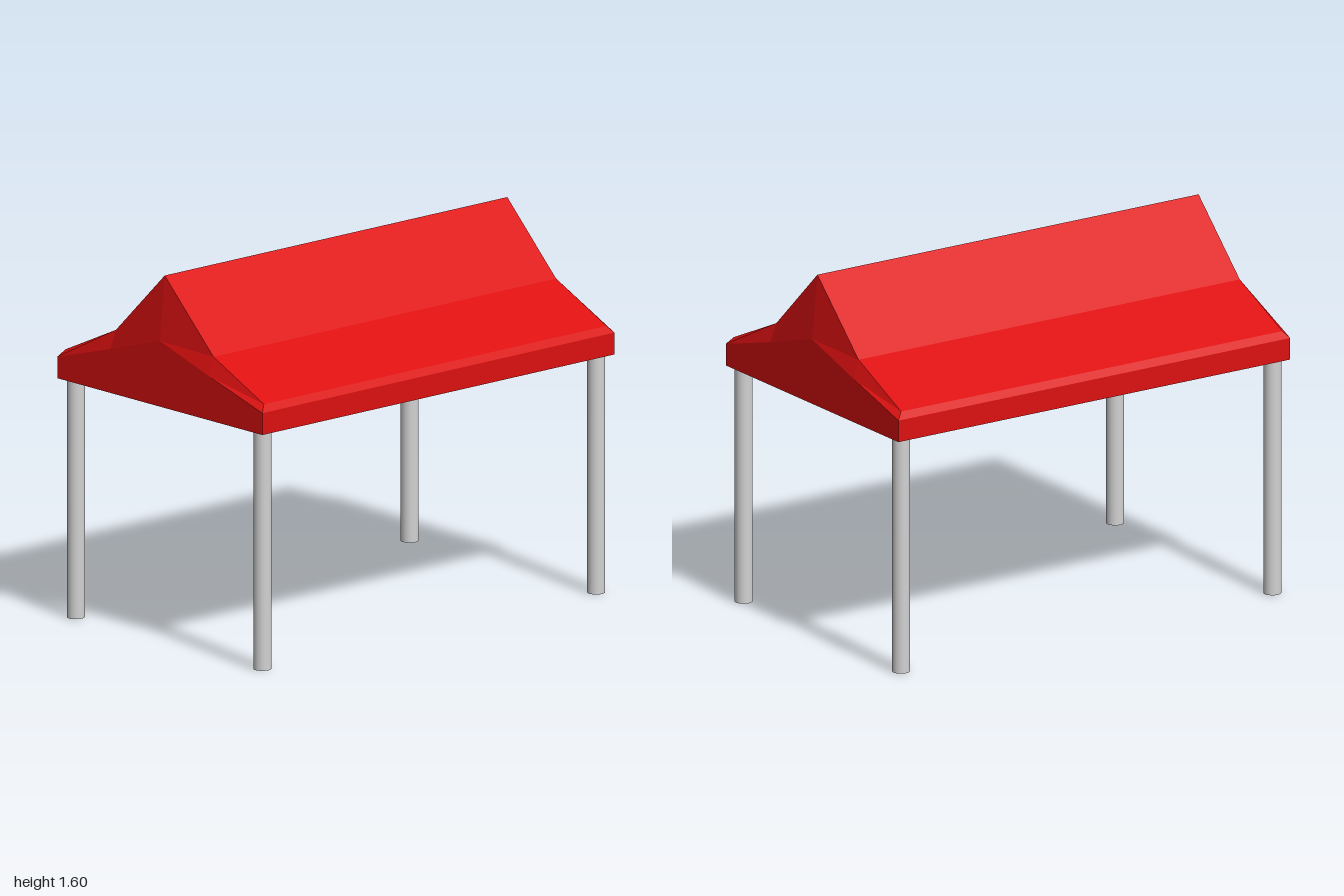
import * as THREE from 'three';

const canopyRed = new THREE.MeshStandardMaterial({ color: 0xdd1010, flatShading: true });
canopyRed.name = 'canopyRed';
const poleGrey = new THREE.MeshStandardMaterial({ color: 0xd2d2d2 });
poleGrey.name = 'poleGrey';

const FLOOR = 1.035;

// Mirror the right half of a profile (eave to ridge) into a full closed outline, left to right
function outline(half) {
  const left = half.map(([x, y]) => [-x, y]);
  return [...left, ...half.slice(0, -1).reverse()];
}

// Canopy: outlines lofted along z, with the gable ends leaning in towards the ridge
function canopyGeometry() {
  const gable = outline([[0.64, FLOOR], [0.64, 1.13], [0.64, 1.13], [0.31, 1.225], [0, 1.32]]);
  const roof = outline([[0.64, FLOOR], [0.64, 1.13], [0.62, 1.16], [0.305, 1.305], [0, 1.6]]);
  const place = (profile, z) => profile.map(([x, y]) => new THREE.Vector3(x, y, z));
  const rings = [place(gable, 1), place(roof, 0.973), place(roof, -0.973), place(gable, -1)];
  const n = gable.length;
  const points = [];
  const addTriangle = (a, b, c) => {
    if (new THREE.Triangle(a, b, c).getArea() > 1e-6) points.push(a, b, c);
  };

  for (let r = 0; r < rings.length - 1; r++) {
    const front = rings[r], back = rings[r + 1];
    for (let i = 0; i < n; i++) {
      const j = (i + 1) % n;
      addTriangle(front[i], front[j], back[j]);
      addTriangle(front[i], back[j], back[i]);
    }
  }
  // Flat gable ends
  const first = rings[0], last = rings[rings.length - 1];
  for (let i = 1; i < n - 1; i++) {
    addTriangle(first[0], first[i + 1], first[i]);
    addTriangle(last[0], last[i], last[i + 1]);
  }
  const geometry = new THREE.BufferGeometry().setFromPoints(points);
  geometry.computeVertexNormals();
  return geometry;
}

export function createModel() {
  const model = new THREE.Group();
  model.name = 'canopyTent';

  const canopy = new THREE.Mesh(canopyGeometry(), canopyRed);
  canopy.name = 'canopy';
  model.add(canopy);

  // Four corner poles
  const poleGeometry = new THREE.CylinderGeometry(0.038, 0.038, FLOOR, 24);
  for (const [side, x] of [['Left', 0.583], ['Right', -0.583]]) {
    for (const [end, z] of [['front', 0.948], ['back', -0.948]]) {
      const pole = new THREE.Mesh(poleGeometry, poleGrey);
      pole.name = `${end}${side}Pole`;
      pole.position.set(x, FLOOR / 2, z);
      model.add(pole);
    }
  }
  return model;
}
